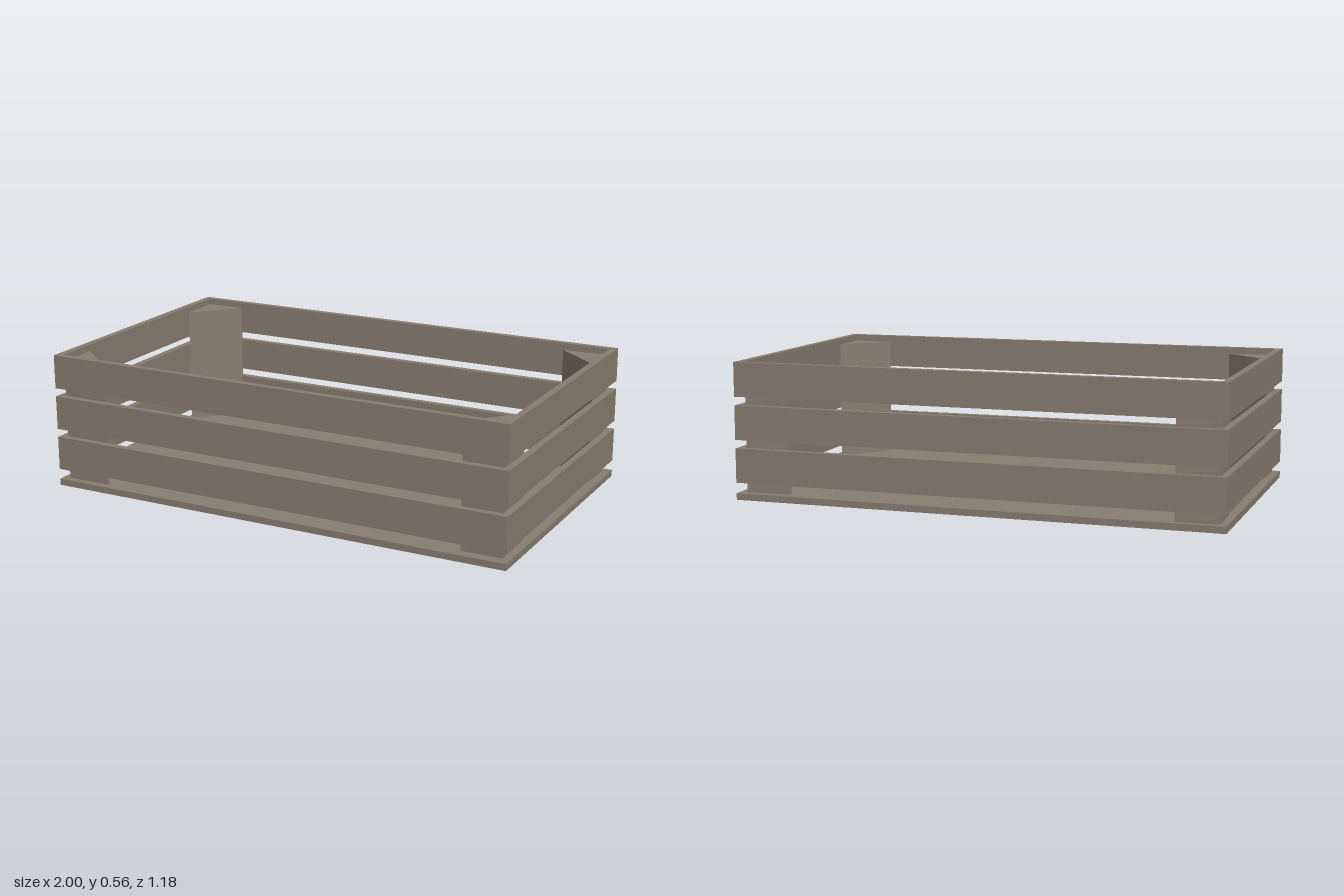
import * as THREE from 'three';

export function createModel() {
  const crate = new THREE.Group();
  crate.name = 'crate';
  const wood = new THREE.MeshStandardMaterial({ color: 0x877d70 });
  wood.name = 'weathered wood';

  const add = (name, geometry, x = 0, y = 0, z = 0) => {
    const mesh = new THREE.Mesh(geometry, wood);
    mesh.name = name;
    mesh.position.set(x, y, z);
    crate.add(mesh);
  };

  const halfX = 1, halfZ = 0.59, thick = 0.028;
  const floorTop = 0.027, postTop = 0.534;

  // Floor board
  add('floor', new THREE.BoxGeometry(2 * halfX, floorTop, 2 * halfZ), 0, floorTop / 2, 0);

  // Three rows of slats; the long ones fit between the ends of the short ones
  const slatHeight = 0.14;
  const longSlat = new THREE.BoxGeometry(2 * (halfX - thick), slatHeight, thick);
  const shortSlat = new THREE.BoxGeometry(thick, slatHeight, 2 * halfZ);
  for (const y of [0.14, 0.315, 0.49]) {
    add('frontSlat', longSlat, 0, y, halfZ - thick / 2);
    add('backSlat', longSlat, 0, y, -halfZ + thick / 2);
    add('leftSlat', shortSlat, halfX - thick / 2, y, 0);
    add('rightSlat', shortSlat, -halfX + thick / 2, y, 0);
  }

  // Triangular corner posts, each set slightly askew: [x, z] corners
  const posts = {
    backRightPost: [[-0.97, -0.562], [-0.8, -0.565], [-0.968, -0.375]],
    backLeftPost: [[0.775, -0.55], [0.966, -0.56], [0.964, -0.39]],
    frontRightPost: [[-0.966, 0.39], [-0.97, 0.56], [-0.775, 0.557]],
    frontLeftPost: [[0.966, 0.36], [0.968, 0.545], [0.8, 0.548]],
  };
  for (const [name, corners] of Object.entries(posts)) {
    const shape = new THREE.Shape(corners.map(([x, z]) => new THREE.Vector2(x, -z)));
    const post = new THREE.ExtrudeGeometry(shape, { depth: postTop - floorTop, bevelEnabled: false });
    add(name, post.rotateX(-Math.PI / 2), 0, floorTop, 0);
  }
  return crate;
}
